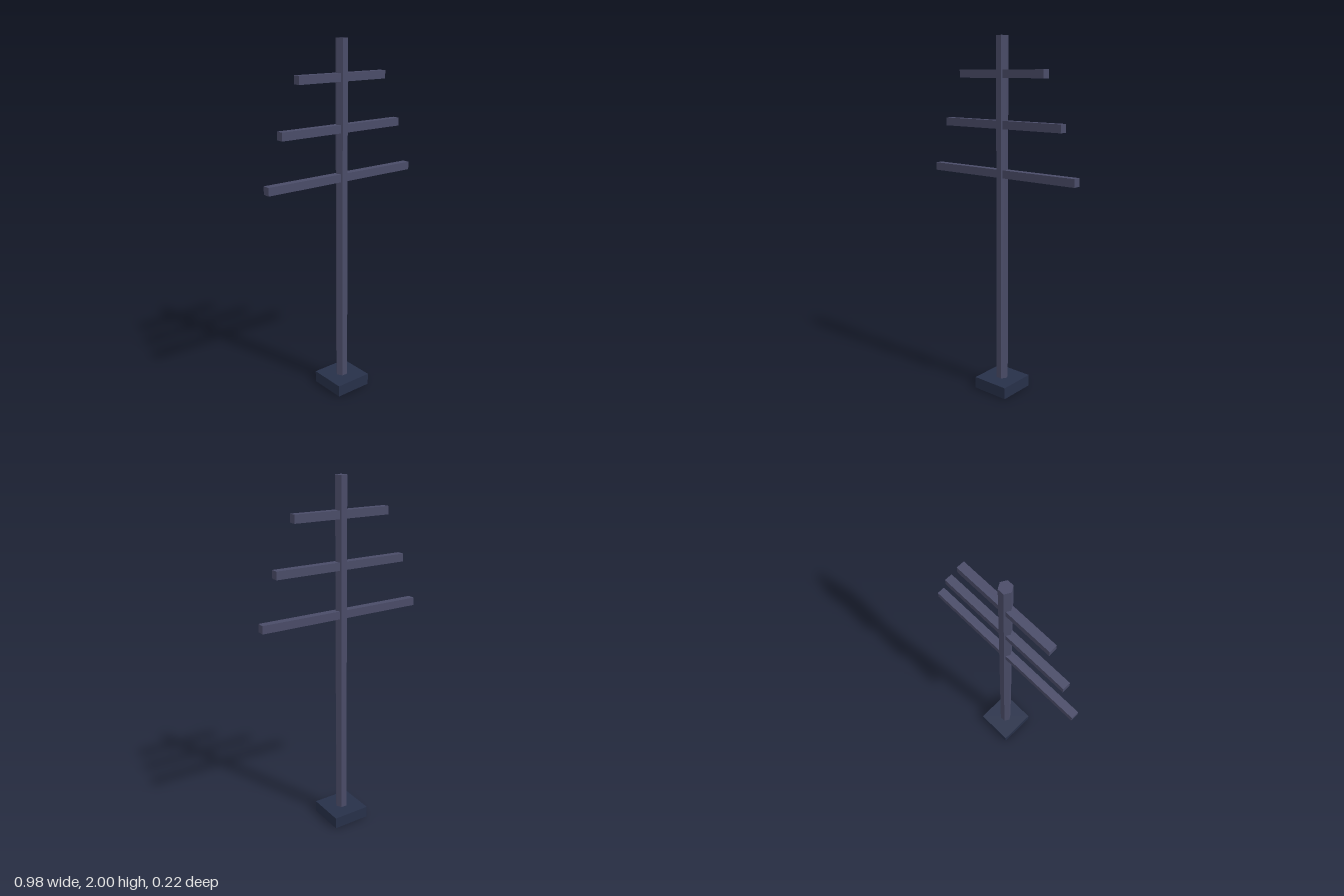
import * as THREE from 'three';

export function createModel() {
  const model = new THREE.Group();
  const steel = new THREE.MeshStandardMaterial({ color: 0x4a4c68, flatShading: true });
  steel.name = 'slate steel';
  const footing = new THREE.MeshStandardMaterial({ color: 0x273049, flatShading: true });
  footing.name = 'dark navy';

  const add = (name, geometry, material, y) => {
    const mesh = new THREE.Mesh(geometry, material);
    mesh.name = name;
    mesh.position.y = y;
    model.add(mesh);
  };

  // Square footing
  const baseHeight = 0.067;
  add('base', new THREE.BoxGeometry(0.222, baseHeight, 0.222), footing, baseHeight / 2);

  // Hexagonal pole with corners pointing along x
  const poleHeight = 2 - baseHeight;
  add('pole', new THREE.CylinderGeometry(0.0345, 0.0345, poleHeight, 6, 1, false, Math.PI / 6),
    steel, baseHeight + poleHeight / 2);

  // Crossarms, shorter towards the top: [name, height, length]
  const arms = [
    ['lowerCrossarm', 1.269, 0.978],
    ['middleCrossarm', 1.535, 0.8],
    ['upperCrossarm', 1.803, 0.578],
  ];
  for (const [name, y, length] of arms) {
    add(name, new THREE.BoxGeometry(length, 0.0445, 0.0445), steel, y);
  }

  return model;
}
